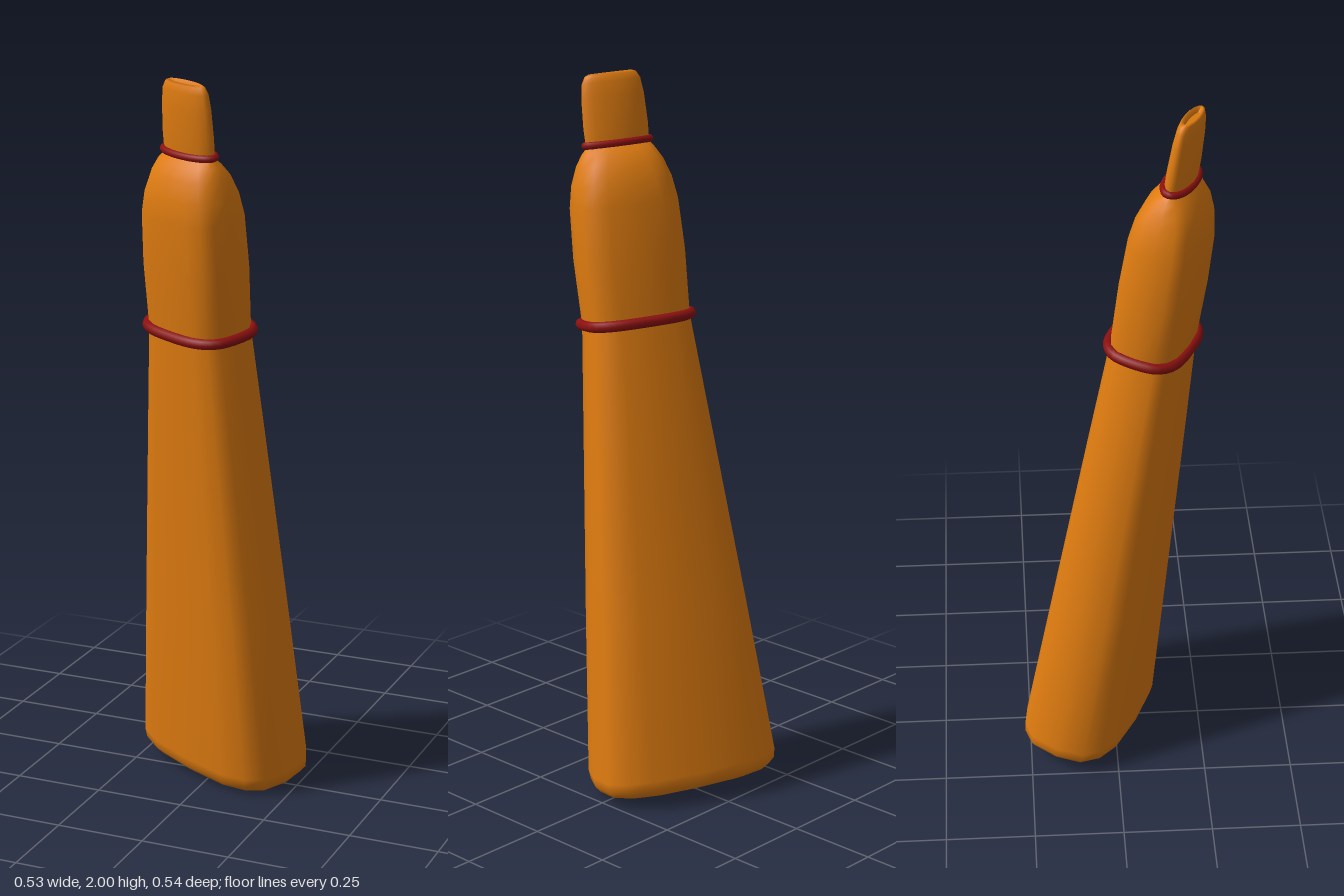
import * as THREE from 'three';

const SIDES = 16;
const orange = new THREE.MeshStandardMaterial({ color: 0xe07c10 });
const red = new THREE.MeshStandardMaterial({ color: 0x8c1010 });

// Point on a rounded oval (superellipse) with half-width a, half-depth b
function ovalPoint(a, b, n, y, j, sides) {
  const t = (j / sides) * Math.PI * 2;
  const bend = (v) => Math.sign(v) * Math.pow(Math.abs(v), 2 / n);
  return new THREE.Vector3(a * bend(Math.cos(t)), y, b * bend(Math.sin(t)));
}

// Smooth skin through rows of [height, halfWidth, halfDepth, exponent], closed at both ends
function loft(rows) {
  const pos = [];
  const index = [];
  const addRing = ([y, a, b, n]) => {
    const start = pos.length / 3;
    for (let j = 0; j < SIDES; j++) pos.push(...ovalPoint(a, b, n, y, j, SIDES).toArray());
    return start;
  };
  const starts = rows.map(addRing);
  for (let i = 0; i < rows.length - 1; i++) {
    for (let j = 0; j < SIDES; j++) {
      const k = (j + 1) % SIDES;
      const [p, q] = [starts[i], starts[i + 1]];
      index.push(p + j, q + j, p + k, p + k, q + j, q + k);
    }
  }
  // End caps have their own vertices so they stay flat
  [[rows[0], false], [rows[rows.length - 1], true]].forEach(([row, top]) => {
    const ring = addRing(row);
    const centre = pos.length / 3;
    pos.push(0, row[0], 0);
    for (let j = 0; j < SIDES; j++) {
      const k = (j + 1) % SIDES;
      index.push(centre, ring + (top ? k : j), ring + (top ? j : k));
    }
  });
  const g = new THREE.BufferGeometry();
  g.setAttribute('position', new THREE.Float32BufferAttribute(pos, 3));
  g.setIndex(index);
  g.computeVertexNormals();
  return g;
}

// Cord wrapped around an oval
function band(y, a, b, n, radius) {
  const pts = [];
  for (let j = 0; j < SIDES; j++) pts.push(ovalPoint(a, b, n, y, j, SIDES));
  const path = new THREE.CatmullRomCurve3(pts, true, 'centripetal');
  return new THREE.TubeGeometry(path, 48, radius, 8, true);
}

export function createModel() {
  const model = new THREE.Group();
  model.name = 'taperedHandle';

  const add = (name, geometry, material) => {
    const mesh = new THREE.Mesh(geometry, material);
    mesh.name = name;
    model.add(mesh);
  };

  // Long shaft, wide at the foot with a softened lower edge
  add('shaft', loft([
    [0, 0.222, 0.112, 2.8],
    [0.01, 0.25, 0.136, 2.9],
    [0.028, 0.264, 0.149, 3],
    [0.055, 0.267, 0.152, 3],
    [0.5, 0.226, 0.134, 3],
    [1.0, 0.177, 0.114, 3],
    [1.32, 0.146, 0.1, 3],
  ]), orange);

  // Shoulder above the waist band, rounding in to the neck
  add('shoulder', loft([
    [1.32, 0.146, 0.1, 3],
    [1.5, 0.151, 0.102, 3],
    [1.64, 0.146, 0.098, 3],
    [1.7, 0.137, 0.09, 2.8],
    [1.75, 0.121, 0.073, 2.6],
    [1.78, 0.106, 0.053, 2.3],
    [1.8, 0.09, 0.034, 2],
  ]), orange);

  // Flat tip with a rounded rim and a shallow hollow on top
  add('tip', loft([
    [1.79, 0.091, 0.033, 2],
    [1.85, 0.093, 0.034, 2],
    [1.93, 0.09, 0.03, 2],
    [1.97, 0.084, 0.025, 2.1],
    [1.988, 0.074, 0.02, 2.1],
    [1.993, 0.062, 0.014, 2],
    [1.978, 0.052, 0.008, 2],
  ]), orange);

  // Cords at the waist and neck
  add('waistBand', band(1.323, 0.149, 0.103, 3, 0.015), red);
  add('neckBand', band(1.805, 0.094, 0.035, 2, 0.01), red);

  // Turned on its axis and leaning forward
  model.rotation.set(0.139, -0.436, 0);
  model.position.set(0, 0.02, -0.077);

  const root = new THREE.Group();
  root.name = 'model';
  root.add(model);
  return root;
}
